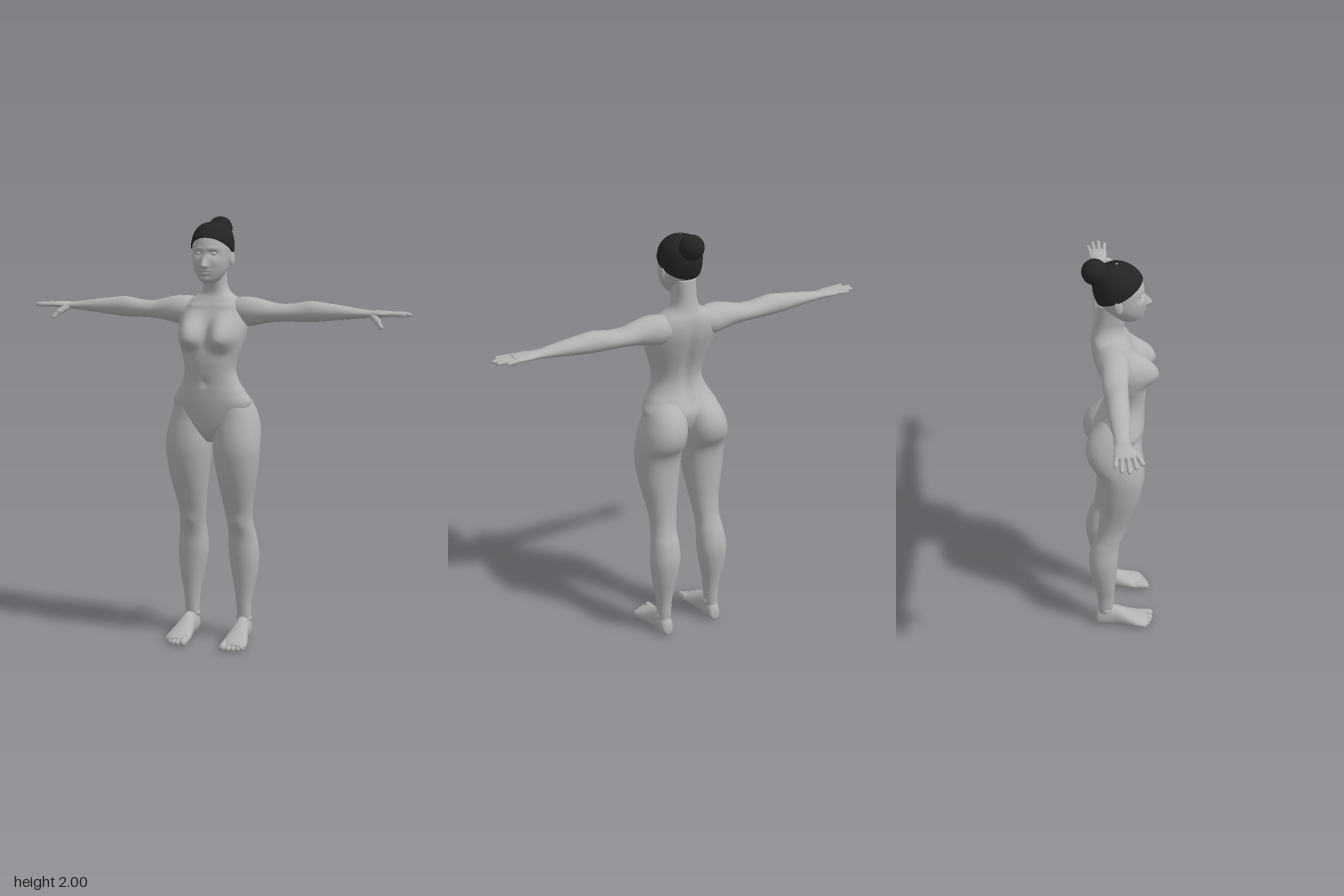
import * as THREE from 'three';

const skin = new THREE.MeshStandardMaterial({ color: 0xb2b2b2 });
skin.name = 'grey body';
const dark = new THREE.MeshStandardMaterial({ color: 0x242424 });
dark.name = 'dark hair';
const V = (x, y, z) => new THREE.Vector3(x, y, z);

// Smooth interpolation between profile rows at fractional index s
function sample(rows, s) {
  const n = rows.length - 1, i = Math.min(Math.floor(s), n - 1), t = s - i;
  const [a, b, c, d] = [rows[Math.max(i - 1, 0)], rows[i], rows[i + 1], rows[Math.min(i + 2, n)]];
  return b.map((q, k) => {
    const m0 = (c[k] - a[k]) / 2, m1 = (d[k] - q) / 2, e = c[k] - q;
    return q + t * (m0 + t * (3 * e - 2 * m0 - m1 + t * (m0 + m1 - 2 * e)));
  });
}

// Closed tube of rings; triangles are turned outwards
function tube(fn, nu, nv) {
  const pts = [], index = [], mid = V(0, 0, 0);
  for (let j = 0; j <= nv; j++) for (let i = 0; i < nu; i++) {
    const p = fn((i / nu) * Math.PI * 2, j);
    pts.push(p);
    mid.add(p);
  }
  mid.divideScalar(pts.length);
  let volume = 0;
  const tri = (a, b, c) => {
    index.push(a, b, c);
    const [p, q, r] = [a, b, c].map((k) => pts[k].clone().sub(mid));
    volume += p.dot(q.cross(r));
  };
  for (let j = 0; j < nv; j++) for (let i = 0; i < nu; i++) {
    const a = j * nu + i, b = j * nu + ((i + 1) % nu);
    tri(a, b, a + nu);
    tri(b, b + nu, a + nu);
  }
  if (volume < 0) index.reverse();
  const g = new THREE.BufferGeometry().setFromPoints(pts);
  g.setIndex(index);
  g.computeVertexNormals();
  return g;
}

// Rows are [position, aLow, aHigh, bLow, bHigh]; place maps (s, a, b) to space
function loft(rows, place, { n = 2, nu = 40, sub = 5, warp } = {}) {
  const steps = (rows.length - 1) * sub;
  const pow = (c) => Math.sign(c) * Math.abs(c) ** (2 / n);
  return tube((u, j) => {
    const k = j === 0 || j === steps + 2 ? 0 : 1;
    const s = THREE.MathUtils.clamp((j - 1) / sub, 0, rows.length - 1);
    const [q, a0, a1, b0, b1] = sample(rows, s);
    const a = (a0 + a1) / 2 + k * pow(Math.cos(u)) * (a1 - a0) / 2;
    const b = (b0 + b1) / 2 + k * pow(Math.sin(u)) * (b1 - b0) / 2;
    const p = place(q, a, b);
    if (warp && k) warp(p, Math.sin(u));
    return p;
  }, nu, steps + 2);
}

// Soft bump rule: [x, y, widthX, heightUp, heightDown, amount, sharpness], mirrored in x
const bumps = (list) => (p, f) => {
  const { x, y } = p;
  for (const [bx, by, sx, up, down, amp, e] of list) {
    const dy = (y - by) / (y > by ? up : down), dx = (Math.abs(x) - bx) / sx;
    p.z += amp * Math.exp(-((dx * dx + dy * dy) ** e)) * Math.min(1, Math.max(0, f * 2.5));
  }
};

const sym = ([y, w, zf, zb]) => [y, -w, w, zb, zf];
const upright = (y, x, z) => V(x, y, z);

const torsoRows = [
  [0.97, 0.02, 0.05, -0.03], [1.02, 0.07, 0.085, -0.06], [1.08, 0.145, 0.1, -0.1],
  [1.15, 0.184, 0.108, -0.115], [1.2, 0.163, 0.11, -0.092], [1.25, 0.135, 0.11, -0.068],
  [1.3, 0.12, 0.114, -0.06], [1.35, 0.125, 0.117, -0.066], [1.4, 0.14, 0.112, -0.08],
  [1.47, 0.157, 0.094, -0.105], [1.53, 0.163, 0.073, -0.123], [1.58, 0.155, 0.05, -0.129],
  [1.62, 0.125, 0.03, -0.125], [1.65, 0.077, 0.016, -0.115], [1.68, 0.057, 0.018, -0.108],
  [1.72, 0.052, 0.028, -0.103], [1.79, 0.052, 0.03, -0.097],
].map(sym);

const headRows = [
  [1.7, 0.02, 0.07, 0.01], [1.715, 0.042, 0.09, -0.02], [1.74, 0.062, 0.1, -0.045],
  [1.77, 0.077, 0.107, -0.075], [1.8, 0.085, 0.109, -0.095], [1.83, 0.089, 0.106, -0.106],
  [1.86, 0.091, 0.104, -0.111], [1.89, 0.089, 0.097, -0.111], [1.92, 0.082, 0.084, -0.104],
  [1.945, 0.066, 0.06, -0.085], [1.962, 0.043, 0.032, -0.058], [1.97, 0.005, -0.008, -0.018],
].map(sym);

const legRows = [
  [0.05, 0.105, 0.162, -0.115, -0.05], [0.1, 0.1, 0.165, -0.118, -0.046],
  [0.18, 0.095, 0.168, -0.122, -0.04], [0.25, 0.085, 0.18, -0.133, -0.035],
  [0.33, 0.069, 0.194, -0.15, -0.028], [0.42, 0.056, 0.2, -0.16, -0.02],
  [0.5, 0.058, 0.19, -0.147, -0.014], [0.56, 0.06, 0.181, -0.125, 0.002],
  [0.62, 0.053, 0.179, -0.112, 0.018], [0.7, 0.042, 0.19, -0.105, 0.048],
  [0.8, 0.026, 0.21, -0.105, 0.08], [0.9, 0.012, 0.223, -0.108, 0.1],
  [0.96, 0.005, 0.225, -0.12, 0.104], [1.02, 0.002, 0.22, -0.156, 0.1],
  [1.08, 0.001, 0.207, -0.165, 0.092], [1.14, 0.002, 0.185, -0.145, 0.088],
  [1.19, 0.01, 0.158, -0.1, 0.08], [1.23, 0.03, 0.11, -0.05, 0.06],
];

const armRows = [
  [0.04, 1.54, 1.62, -0.105, -0.01], [0.12, 1.505, 1.637, -0.115, 0.022],
  [0.18, 1.507, 1.638, -0.107, 0.028], [0.24, 1.52, 1.626, -0.1, 0.02],
  [0.3, 1.528, 1.612, -0.1, 0.011], [0.37, 1.531, 1.613, -0.099, 0.006],
  [0.45, 1.531, 1.626, -0.096, 0.002], [0.52, 1.537, 1.62, -0.094, -0.001],
  [0.6, 1.546, 1.61, -0.089, -0.007], [0.68, 1.554, 1.598, -0.081, -0.015],
  [0.73, 1.559, 1.593, -0.08, -0.015], [0.77, 1.561, 1.594, -0.088, -0.003],
  [0.81, 1.565, 1.592, -0.09, -0.001], [0.83, 1.57, 1.588, -0.087, -0.005],
];

const footRows = [
  [-0.132, 0.118, 0.15, 0.015, 0.05], [-0.12, 0.104, 0.161, 0, 0.085],
  [-0.08, 0.1, 0.168, -0.006, 0.12], [-0.03, 0.098, 0.172, -0.006, 0.11],
  [0.02, 0.09, 0.185, -0.004, 0.083], [0.07, 0.082, 0.198, -0.003, 0.057],
  [0.105, 0.082, 0.199, -0.002, 0.042], [0.125, 0.088, 0.185, 0.004, 0.03],
];

export function createModel() {
  const root = new THREE.Group();
  const add = (name, geometry, material = skin) => {
    const m = new THREE.Mesh(geometry, material);
    m.name = name;
    root.add(m);
    return m;
  };
  const ball = (name, p, r, material) => {
    const m = add(name, new THREE.SphereGeometry(1, 28, 20), material);
    m.position.copy(p);
    m.scale.copy(r);
    return m;
  };
  // Round-ended finger or toe segment
  const digit = (name, a, b, r) => {
    const d = b.clone().sub(a);
    const m = add(name, new THREE.CapsuleGeometry(r, d.length(), 5, 12));
    m.position.copy(a).add(b).multiplyScalar(0.5);
    m.quaternion.setFromUnitVectors(V(0, 1, 0), d.normalize());
  };

  // Torso and neck with chest, navel and collar shaping, and a groove down the spine
  const chest = bumps([
    [0.08, 1.465, 0.06, 0.085, 0.056, 0.078, 1.4],
    [0, 1.25, 0.012, 0.02, 0.016, -0.01, 1],
    [0.07, 1.6, 0.06, 0.012, 0.012, 0.006, 1],
  ]);
  add('torso', loft(torsoRows, upright, {
    n: 2.3, nu: 96, sub: 7,
    warp: (p, f) => {
      chest(p, f);
      if (f < 0 && p.y > 1.15 && p.y < 1.62) p.z += 0.012 * Math.exp(-((p.x / 0.025) ** 2)) * Math.sin((p.y - 1.15) / 0.47 * Math.PI);
    },
  }));

  // Head with nose, lips, eye sockets, brows, cheeks and chin
  add('head', loft(headRows, upright, {
    nu: 128, sub: 8,
    warp: bumps([
      [0, 1.784, 0.013, 0.03, 0.011, 0.029, 1.1],
      [0.011, 1.782, 0.009, 0.01, 0.008, 0.008, 1],
      [0, 1.762, 0.022, 0.006, 0.005, 0.009, 1],
      [0, 1.748, 0.018, 0.006, 0.006, 0.009, 1],
      [0, 1.722, 0.02, 0.012, 0.012, 0.007, 1],
      [0.034, 1.838, 0.02, 0.012, 0.014, -0.013, 1],
      [0.034, 1.861, 0.026, 0.008, 0.008, 0.004, 1],
      [0.05, 1.8, 0.02, 0.02, 0.02, 0.004, 1],
    ]),
  }));

  // Hair cap following the skull, with a hairline that arches over the face
  add('hair', tube((u, j) => {
    const f = Math.sin(u), start = 5.5 + f * (f > 0 ? 2.1 : 1.6);
    const t = Math.max(0, j - 1) / 24, k = j === 0 ? 0.9 : 1.07;
    const [y, , w, zb, zf] = sample(headRows, start + (11 - start) * t);
    return V(Math.cos(u) * w * k, y + 0.009 * t, (zf + zb) / 2 + f * k * (zf - zb) / 2);
  }, 64, 25), dark);
  ball('hairBun', V(0, 1.944, -0.109), V(0.056, 0.056, 0.056), dark);

  for (const s of [1, -1]) {
    const side = s > 0 ? 'left' : 'right';
    ball(side + 'Eye', V(s * 0.034, 1.837, 0.081), V(0.015, 0.01, 0.013));
    ball(side + 'Ear', V(s * 0.09, 1.815, -0.012), V(0.009, 0.033, 0.019)).rotation.set(-0.2, s * -0.3, 0);

    // Arm and palm
    add(side + 'Arm', loft(armRows, (x, y, z) => V(s * x, y, z)));
    const tips = [[0.885, -0.006, -0.014], [0.909, -0.035, -0.036], [0.9, -0.064, -0.058], [0.865, -0.087, -0.079]];
    for (const [x, z, z0] of tips) digit(side + 'Finger', V(s * 0.81, 1.579, z0), V(s * x, 1.578, z), 0.0095);
    digit(side + 'ThumbBase', V(s * 0.745, 1.57, -0.025), V(s * 0.775, 1.547, 0.008), 0.0155);
    digit(side + 'Thumb', V(s * 0.775, 1.547, 0.01), V(s * 0.795, 1.525, 0.027), 0.0105);

    // Leg with buttock, kneecap and foot
    add(side + 'Leg', loft(legRows, (y, x, z) => V(s * x, y, z), {
      n: 2.15, nu: 56, warp: bumps([[0.12, 0.59, 0.03, 0.035, 0.03, 0.007, 1]]),
    }));
    add(side + 'Foot', loft(footRows, (z, x, y) => V(s * x, Math.max(y, 0), z)));
    ball(side + 'Ankle', V(s * 0.132, 0.1, -0.08), V(0.039, 0.022, 0.025));
    const toes = [[0.099, 0.14, 0.017], [0.126, 0.141, 0.0125], [0.148, 0.134, 0.012], [0.168, 0.124, 0.0115], [0.186, 0.11, 0.011]];
    for (const [x, z, r] of toes) digit(side + 'Toe', V(s * x, 0.024, z - 0.045), V(s * x, r, z), r);
  }
  return root;
}
